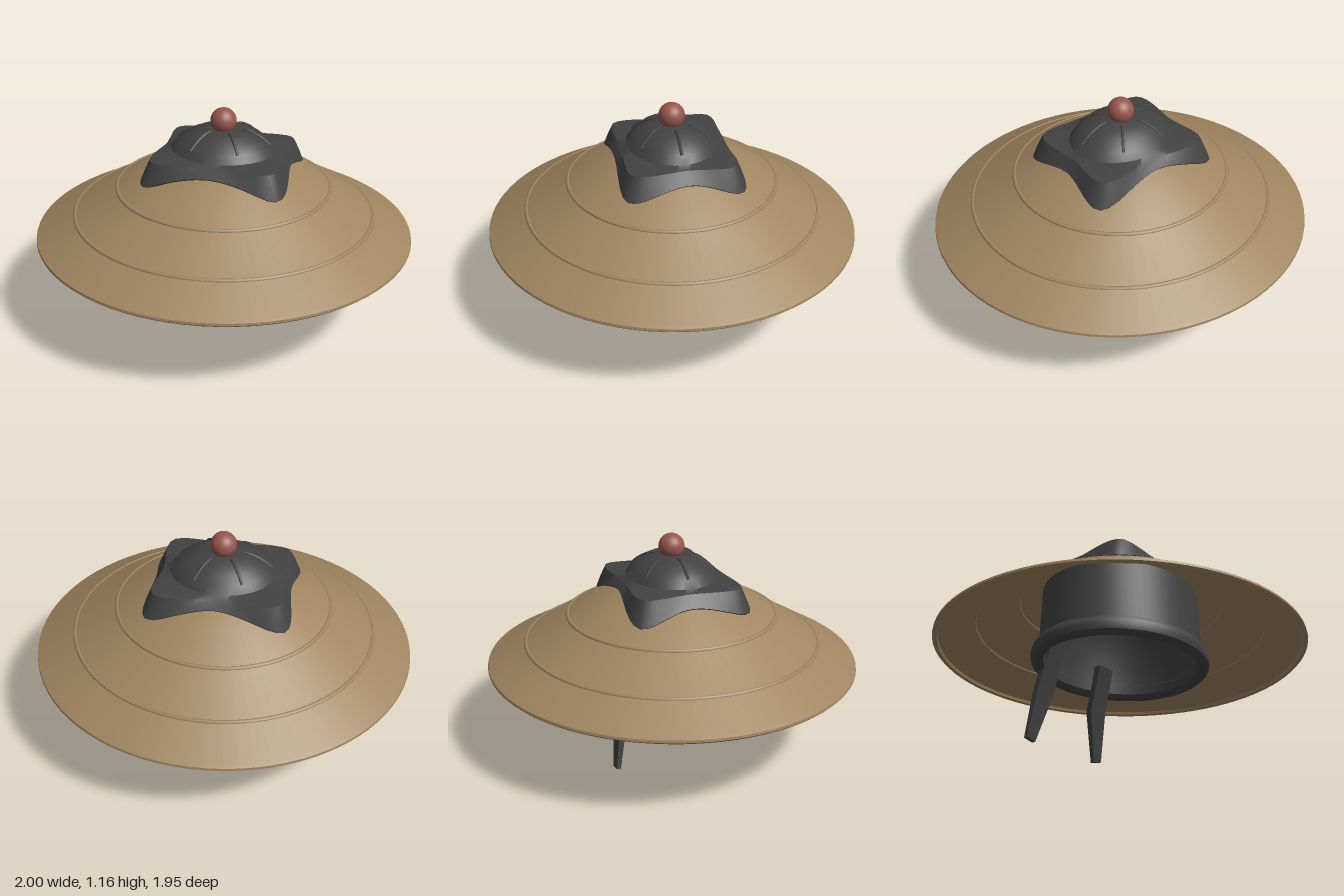
import * as THREE from 'three';
import { toCreasedNormals } from 'three/addons/utils/BufferGeometryUtils.js';

const straw = new THREE.MeshStandardMaterial({ color: 0xa08560, side: THREE.DoubleSide });
straw.name = 'straw brown';
const cloth = new THREE.MeshStandardMaterial({ color: 0x424242, side: THREE.DoubleSide });
cloth.name = 'charcoal cloth';
const red = new THREE.MeshStandardMaterial({ color: 0x96564c });
red.name = 'dull red';

// Outer hat profile as [radius, height], rim to apex
const HAT = [[0.985, 0.5], [0.79, 0.6], [0.56, 0.742], [0.37, 0.855], [0.18, 0.945], [0, 0.985]];
const HAT_DEPTH = 0.975;

function hatY(r) {
  for (let i = 1; i < HAT.length; i++) {
    const [r0, y0] = HAT[i - 1], [r1, y1] = HAT[i];
    if (r >= r1) return y0 + (y1 - y0) * (r0 - r) / (r0 - r1);
  }
  return HAT[HAT.length - 1][1];
}

function add(parent, name, geometry, material) {
  const mesh = new THREE.Mesh(geometry, material);
  mesh.name = name;
  parent.add(mesh);
  return mesh;
}

function lathe(points, depth) {
  const g = new THREE.LatheGeometry(points.map(p => new THREE.Vector2(...p)), 80);
  return toCreasedNormals(g.scale(1, 1, depth), 0.6);
}

// Draped cap: wavy rounded-square skirt blending into an oval dome
const DOME = [[0.275, 0.945], [0.245, 0.983], [0.2, 1.018], [0.13, 1.05], [0, 1.056]];
const DOME_DEPTH = 0.86;

function capGeometry() {
  const n = 72, pos = [], index = [];
  const skirt = (t, s) => {
    const c = Math.cos(t), d = Math.sin(t);
    const k = (c ** 8 + d ** 8) ** (-1 / 8) * (1 + 0.08 * Math.sin(2 * t) ** 2 + 0.012 * Math.sin(5 * t));
    return [0.355 * c * k * s, 0.3 * d * k * s];
  };
  const rings = [
    t => { const [x, z] = skirt(t, 0.97); return [x, hatY(Math.hypot(x, z / HAT_DEPTH)) - 0.01, z]; },
    t => { const [x, z] = skirt(t, 1); return [x, hatY(Math.hypot(x, z / HAT_DEPTH)) + 0.008, z]; },
    t => { const [x, z] = skirt(t, 0.94); return [x, 0.5 * (hatY(Math.hypot(x, z)) + 0.93), z]; },
    t => { const [x, z] = skirt(t, 0.88); return [x, 0.932, z]; },
    ...DOME.map(([r, y]) => t => [r * Math.cos(t), y, r * DOME_DEPTH * Math.sin(t)]),
  ];
  rings.forEach((ring, j) => {
    for (let i = 0; i <= n; i++) {
      pos.push(...ring((i % n) / n * Math.PI * 2));
      if (j && i < n) {
        const a = (j - 1) * (n + 1) + i, b = a + n + 1;
        index.push(a, b, a + 1);
        if (j < rings.length - 1) index.push(a + 1, b, b + 1);
      }
    }
  });
  const g = new THREE.BufferGeometry();
  g.setAttribute('position', new THREE.Float32BufferAttribute(pos, 3));
  g.setIndex(index);
  return toCreasedNormals(g, 0.6);
}

// Chin strap: a box whose rows follow [y, inner x, outer x, back z, front z]
function strapGeometry(side) {
  const rows = [
    [0.52, 0.14, 0.25, -0.31, -0.27], [0.37, 0.15, 0.26, -0.35, -0.315],
    [0.27, 0.15, 0.268, -0.378, -0.343], [0, 0.228, 0.288, -0.41, -0.388],
  ];
  const g = new THREE.BoxGeometry(1, 1, 1, 1, 3, 1);
  const p = g.attributes.position;
  for (let i = 0; i < p.count; i++) {
    const [y, x0, x1, z0, z1] = rows[Math.round((0.5 - p.getY(i)) * 3)];
    const outer = p.getX(i) * side > 0;
    p.setXYZ(i, side * (outer ? x1 : x0), y + (y === 0 && outer ? 0.012 : 0), p.getZ(i) > 0 ? z1 : z0);
  }
  return toCreasedNormals(g, 0.4);
}

export function createModel() {
  const model = new THREE.Group();
  model.name = 'conicalHat';

  // Wide straw cone with a thin rolled rim
  const inner = HAT.slice(1).reverse().map(([r, y]) => [r, y - 0.014]);
  const rim = [[0.97, 0.49], [0.975, 0.475], [0.99, 0.47], [1, 0.48], [0.998, 0.492]];
  add(model, 'strawCone', lathe([...inner, ...rim, ...HAT], HAT_DEPTH), straw);

  // Raised hoops, showing above and below the straw
  for (const r of [0.79, 0.56]) {
    const g = new THREE.TorusGeometry(r, 0.012, 8, 80).rotateX(Math.PI / 2);
    add(model, 'strawHoop', g.scale(1, 1, HAT_DEPTH), straw).position.y = hatY(r) - 0.006;
  }

  // Inner head band: wall, padded roll and lining
  add(model, 'headBandWall', lathe([[0.46, 0.43], [0.445, 0.79]], 0.9), cloth);
  add(model, 'headBandRoll', lathe([
    [0.425, 0.44], [0.43, 0.395], [0.45, 0.375], [0.475, 0.37], [0.497, 0.39], [0.502, 0.415],
    [0.497, 0.44], [0.482, 0.465], [0.455, 0.475], [0.425, 0.44],
  ], 0.9), cloth);
  add(model, 'lining', lathe([[0, 0.91], [0.2, 0.89], [0.33, 0.82], [0.4, 0.72], [0.43, 0.42]], 0.9), cloth);

  // Chin straps hanging at the back
  add(model, 'leftStrap', strapGeometry(1), cloth);
  add(model, 'rightStrap', strapGeometry(-1), cloth);

  // Cloth cap with six stitched ribs
  add(model, 'clothCap', capGeometry(), cloth);
  for (let i = 0; i < 6; i++) {
    const t = i * Math.PI / 3;
    const path = new THREE.CatmullRomCurve3([[0.245, 0.983], [0.2, 1.018], [0.13, 1.05], [0.1, 1.053]]
      .map(([r, y]) => new THREE.Vector3(r * Math.cos(t), y, r * DOME_DEPTH * Math.sin(t))));
    add(model, 'capRib', new THREE.TubeGeometry(path, 10, 0.008, 6), cloth);
  }

  // Ball on top
  add(model, 'topBall', new THREE.SphereGeometry(0.068, 32, 20), red).position.y = 1.093;

  return model;
}
